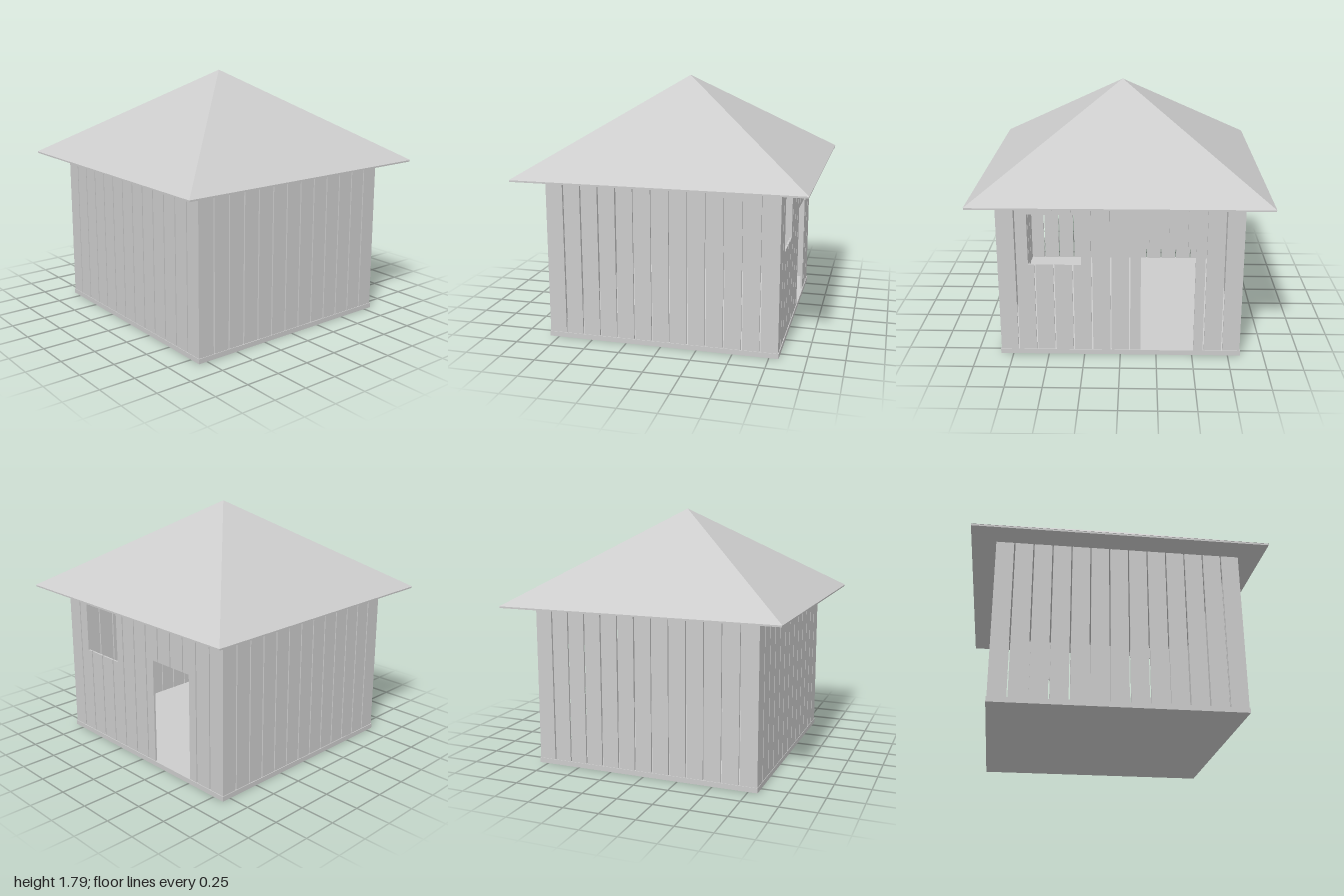
import * as THREE from 'three';

const material = new THREE.MeshStandardMaterial({ color: 0xcccccc, flatShading: true });
const FLOOR = 0.035, EAVE = 1.14, APEX = 1.795;
const PLANKS = 13, GAP = 0.009, THICK = 0.014;

function addBox(parent, name, x0, x1, y0, y1, z0, z1) {
  const mesh = new THREE.Mesh(new THREE.BoxGeometry(x1 - x0, y1 - y0, z1 - z0), material);
  mesh.position.set((x0 + x1) / 2, (y0 + y1) / 2, (z0 + z1) / 2);
  mesh.name = name;
  parent.add(mesh);
}

// A row of upright planks in the xy plane, cut around rectangular openings
function plankWall(name, halfWidth, openings = []) {
  const wall = new THREE.Group();
  wall.name = name;
  const pitch = (2 * halfWidth + GAP) / PLANKS;
  for (let i = 0; i < PLANKS; i++) {
    const a = -halfWidth + i * pitch, b = a + pitch - GAP;
    const cuts = openings.flatMap(o => [o.x0, o.x1]).filter(x => x > a && x < b);
    const xs = [a, ...cuts.sort((p, q) => p - q), b];
    for (let k = 0; k < xs.length - 1; k++) {
      const mid = (xs[k] + xs[k + 1]) / 2;
      const hole = openings.find(o => mid > o.x0 && mid < o.x1);
      const spans = hole ? [[FLOOR, hole.y0], [hole.y1, EAVE]] : [[FLOOR, EAVE]];
      for (const [y0, y1] of spans) {
        if (y1 - y0 > 0.001) addBox(wall, 'plank', xs[k], xs[k + 1], y0, y1, -THICK, 0);
      }
    }
  }
  return wall;
}

export function createModel() {
  const hut = new THREE.Group();
  hut.name = 'hut';

  // Floor slab
  addBox(hut, 'floor', -0.838, 0.838, 0, FLOOR, -0.815, 0.815);

  // Front wall and back wall; the back one has a doorway and a window
  const front = plankWall('frontWall', 0.833);
  front.position.z = 0.812;
  const back = plankWall('backWall', 0.833, [
    { x0: 0.14, x1: 0.51, y0: FLOOR, y1: 0.8 },
    { x0: -0.625, x1: -0.265, y0: 0.68, y1: 1.04 },
  ]);
  back.rotation.y = Math.PI;
  back.position.z = -0.81;
  hut.add(front, back);

  // Side walls
  for (const side of [-1, 1]) {
    const wall = plankWall(side > 0 ? 'leftWall' : 'rightWall', 0.808);
    wall.rotation.y = side * Math.PI / 2;
    wall.position.x = side * 0.833;
    hut.add(wall);
  }

  // Pyramid roof on a thin eave slab
  const roof = new THREE.Group();
  roof.name = 'roof';
  addBox(roof, 'eave', -0.997, 0.997, EAVE, 1.152, -0.997, 0.997);
  const pyramid = new THREE.ConeGeometry(Math.SQRT2, APEX - 1.152, 4);
  pyramid.rotateY(Math.PI / 4);
  const slopes = new THREE.Mesh(pyramid, material);
  slopes.name = 'roofSlopes';
  slopes.position.y = (APEX + 1.152) / 2;
  roof.add(slopes);
  hut.add(roof);

  return hut;
}
